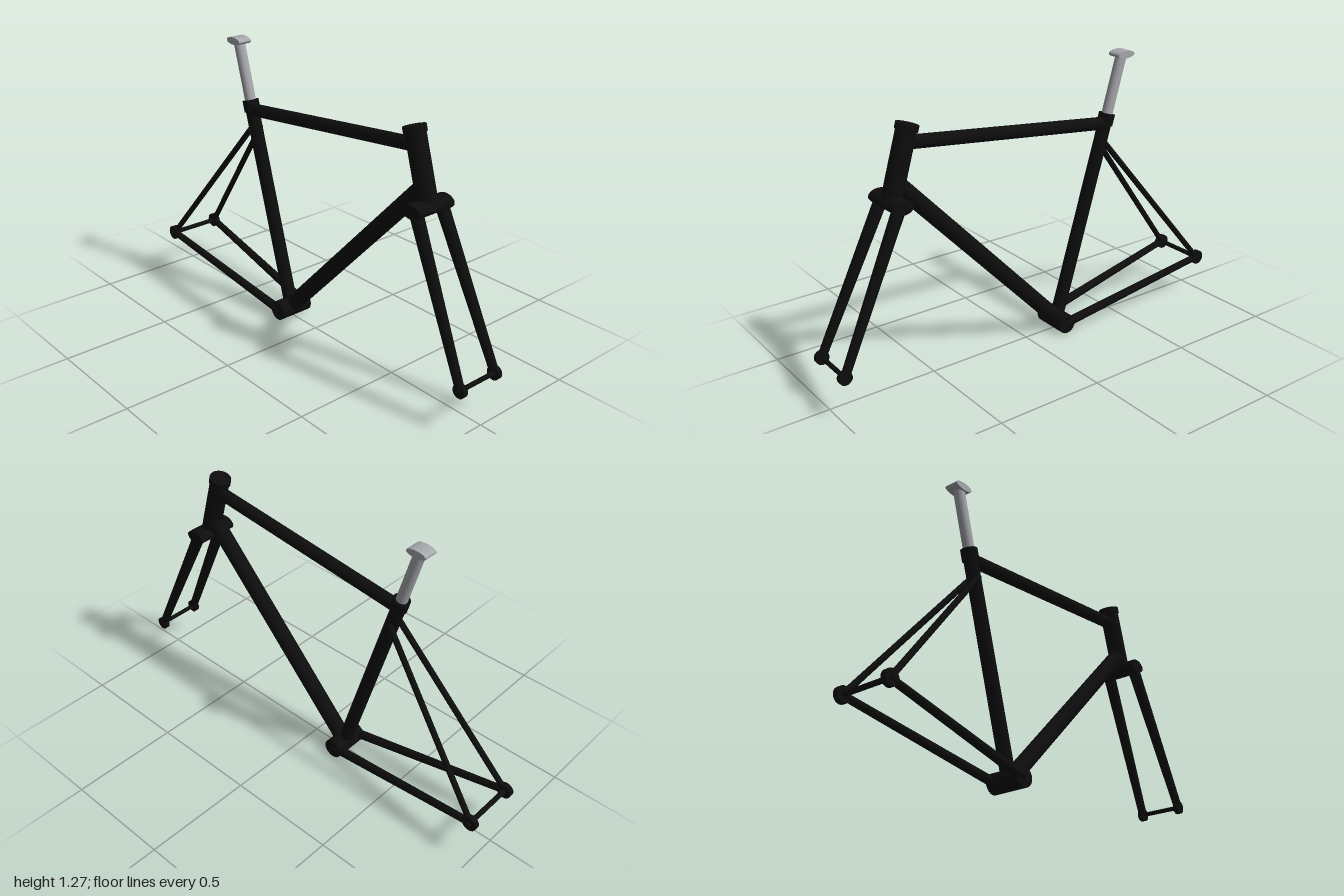
import * as THREE from 'three';

const black = new THREE.MeshStandardMaterial({ color: 0x0d0d0d });
black.name = 'black paint';
const silver = new THREE.MeshStandardMaterial({ color: 0xa6a8ad });
silver.name = 'silver metal';

const V = (x, y, z = 0) => new THREE.Vector3(x, y, z);
const UP = V(0, 1, 0);

// Main joints of the frame
const bracket = V(-0.176, 0.046);
const seatTop = V(-0.45, 0.97);
const headTop = V(0.577, 1.135);
const headLow = V(0.664, 0.84);
const crownAt = V(0.668, 0.83);
const rearHub = V(-0.966, 0.187);
const frontHub = V(0.97, 0.187);
const atZ = (p, z) => V(p.x, p.y, z);

export function createModel() {
  const group = new THREE.Group();
  group.name = 'bicycleFrame';

  // Round, optionally tapered tube between two points
  function tube(name, a, b, ra, rb = ra, mat = black) {
    const geo = new THREE.CylinderGeometry(rb, ra, a.distanceTo(b), 20);
    const mesh = new THREE.Mesh(geo, mat);
    mesh.name = name;
    mesh.position.copy(a).lerp(b, 0.5);
    mesh.quaternion.setFromUnitVectors(UP, b.clone().sub(a).normalize());
    group.add(mesh);
  }

  // Cylinder lying across the frame, elliptical in side view
  function cross(name, p, rx, ry, width, mat = black) {
    const geo = new THREE.CylinderGeometry(1, 1, width, 20);
    geo.rotateX(Math.PI / 2).scale(rx, ry, 1);
    const mesh = new THREE.Mesh(geo, mat);
    mesh.name = name;
    mesh.position.copy(p);
    group.add(mesh);
  }

  // Main triangle
  tube('seatTube', bracket, seatTop, 0.031);
  tube('topTube', V(-0.435, 0.948), V(0.595, 1.06), 0.029);
  tube('downTube', bracket, V(0.635, 0.895), 0.037);
  tube('headTube', headLow, headTop, 0.043);
  cross('bottomBracket', bracket, 0.045, 0.045, 0.166);

  // Headset cap and seat collar, in line with their tubes
  const headDir = headTop.clone().sub(headLow).normalize();
  tube('headsetCap', headTop.clone().addScaledVector(headDir, -0.028), headTop, 0.048);
  const seatDir = seatTop.clone().sub(bracket).normalize();
  tube('seatCollar', seatTop.clone().addScaledVector(seatDir, -0.03),
    seatTop.clone().addScaledVector(seatDir, 0.022), 0.037);

  // Seat post with its saddle clamp
  tube('seatPost', seatTop, V(-0.531, 1.25), 0.025, 0.025, silver);
  cross('saddleClamp', V(-0.532, 1.253), 0.047, 0.017, 0.066, silver);

  // Fork crown and axles
  cross('forkCrown', crownAt, 0.048, 0.03, 0.194);
  cross('rearAxle', rearHub, 0.011, 0.011, 0.292);
  cross('frontAxle', frontHub, 0.01, 0.01, 0.234);

  // Paired stays, blades and dropouts
  for (const s of [1, -1]) {
    const side = s > 0 ? 'Front' : 'Back';
    tube('chainstay' + side, atZ(bracket, s * 0.07), atZ(rearHub, s * 0.122), 0.021, 0.016);
    tube('seatstay' + side, V(-0.422, 0.865, s * 0.028), atZ(rearHub, s * 0.122), 0.013);
    tube('forkBlade' + side, atZ(crownAt, s * 0.07), atZ(frontHub, s * 0.1), 0.028, 0.019);
    cross('rearDropout' + side, atZ(rearHub, s * 0.122), 0.034, 0.034, 0.024);
    cross('frontDropout' + side, atZ(frontHub, s * 0.1), 0.03, 0.03, 0.022);
  }
  return group;
}
